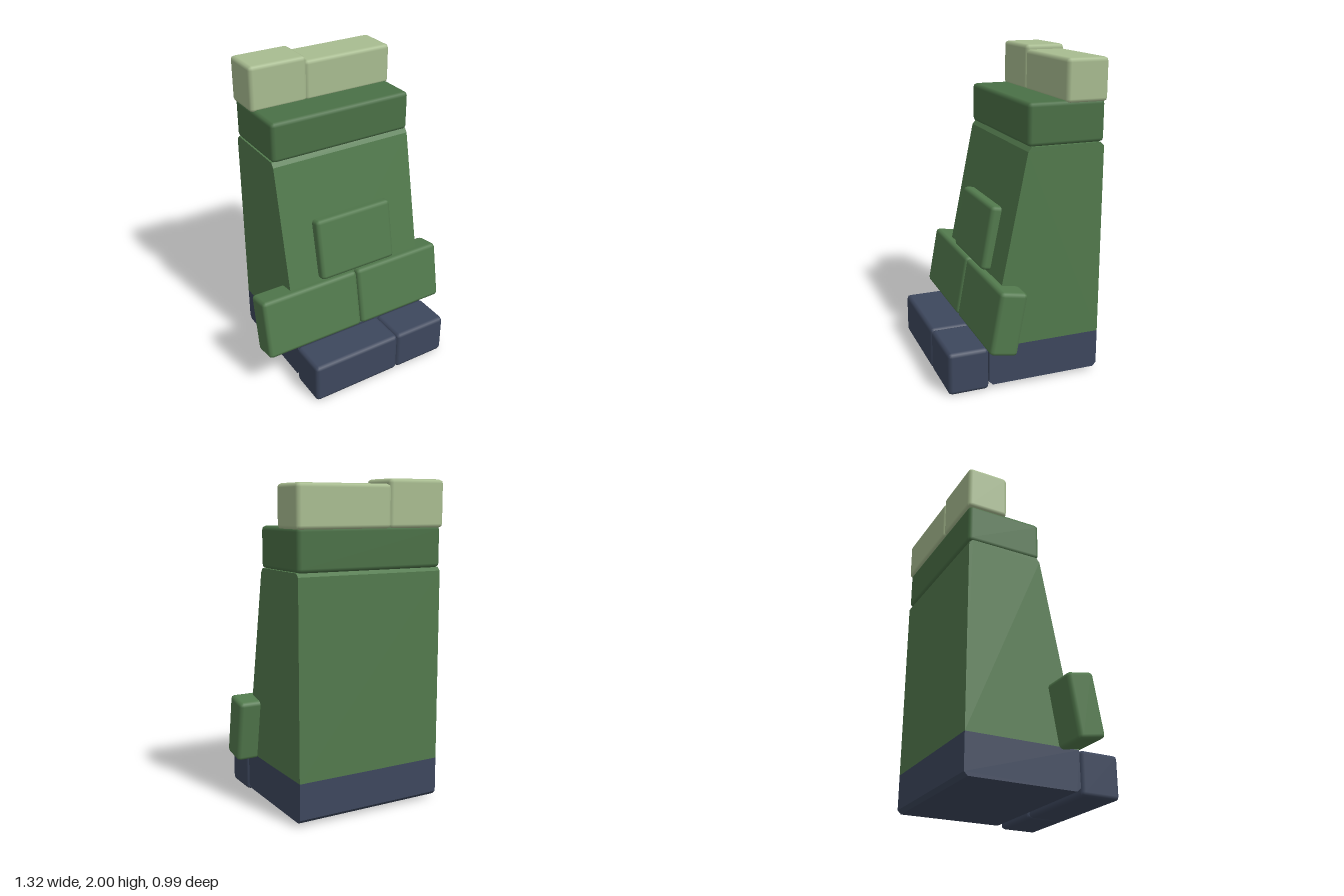
import * as THREE from 'three';
import { RoundedBoxGeometry } from 'three/addons/geometries/RoundedBoxGeometry.js';

const mat = (name, color) => new THREE.MeshStandardMaterial({ name, color });

export function createModel() {
  const group = new THREE.Group();
  group.name = 'blockStatue';
  const green = mat('leaf green', 0x527a4d);
  const darkGreen = mat('deep green', 0x4a7046);
  const pale = mat('pale sage', 0xa8bc90);
  const navy = mat('slate navy', 0x3d475d);

  const add = (name, geometry, material) => {
    const mesh = new THREE.Mesh(geometry, material);
    mesh.name = name;
    group.add(mesh);
    return mesh;
  };

  // Block with softened edges, given by its extents on each axis
  const block = (name, [x0, x1], [y0, y1], [z0, z1], material, tilt = 0) => {
    const geometry = new RoundedBoxGeometry(x1 - x0, y1 - y0, z1 - z0, 1, 0.025);
    const mesh = add(name, geometry, material);
    mesh.position.set((x0 + x1) / 2, (y0 + y1) / 2, (z0 + z1) / 2);
    mesh.rotation.x = tilt;
    return mesh;
  };

  // Side profile of (z, y) points, extruded across the width
  const slab = (name, points, material) => {
    const shape = new THREE.Shape(points.map(([z, y]) => new THREE.Vector2(z, y)));
    const geometry = new THREE.ExtrudeGeometry(shape, { depth: 0.97, bevelEnabled: false });
    geometry.translate(0, 0, -0.485).rotateY(-Math.PI / 2).translate(0.04, 0, 0);
    return add(name, geometry, material);
  };

  // Sloped body on its base
  slab('body', [[-0.483, 0.267], [0.238, 0.267], [0.0, 1.45], [-0.022, 1.477], [-0.46, 1.477], [-0.483, 1.455]], green);
  slab('base', [[-0.483, 0.045], [-0.46, 0.022], [0.215, 0.022], [0.24, 0.045], [0.238, 0.267], [-0.483, 0.267]], navy);

  // Brow and two hair blocks
  block('brow', [-0.445, 0.525], [1.475, 1.728], [-0.485, 0.0], darkGreen);
  block('rightHair', [-0.457, -0.07], [1.712, 2.0], [-0.497, -0.232], pale);
  block('leftHair', [-0.083, 0.533], [1.712, 1.97], [-0.497, -0.232], pale);

  // Nose and lips lean back with the face
  const tilt = -0.178;
  block('nose', [-0.235, 0.312], [0.67, 1.075], [0.057, 0.177], green, tilt);
  block('rightLip', [-0.663, 0.02], [0.263, 0.657], [0.073, 0.247], green, tilt);
  block('leftLip', [0.023, 0.658], [0.263, 0.657], [0.073, 0.247], green, tilt);

  // Chin blocks in front of the base
  block('rightChin', [-0.457, 0.162], [0.0, 0.27], [0.24, 0.497], navy);
  block('leftChin', [0.158, 0.533], [0.0, 0.27], [0.24, 0.497], navy);

  return group;
}
